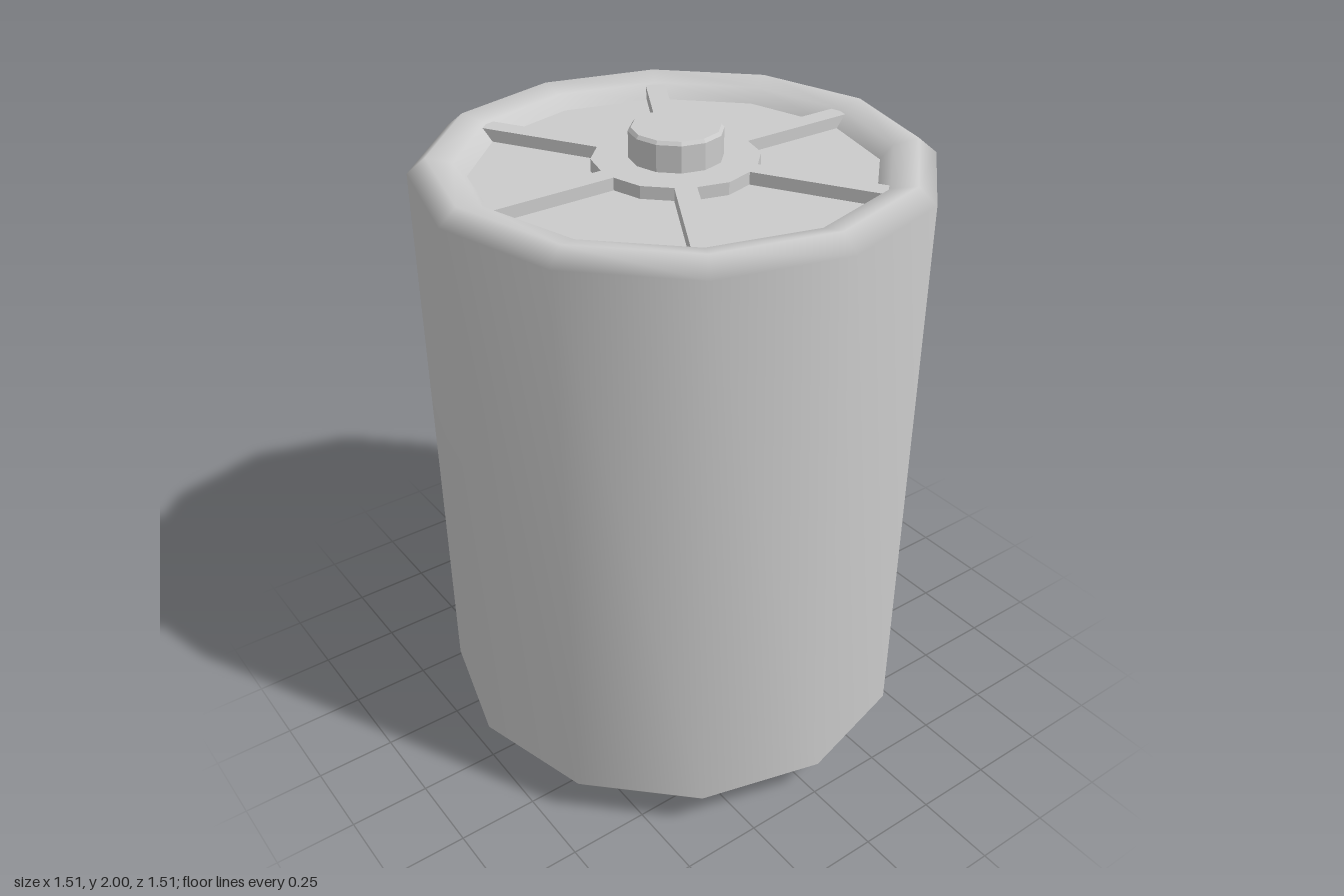
import * as THREE from 'three';

const SIDES = 12;

export function createModel() {
  const group = new THREE.Group();
  const smooth = new THREE.MeshStandardMaterial({ color: 0xcccccc });
  const flat = new THREE.MeshStandardMaterial({ color: 0xcccccc, flatShading: true });

  const add = (name, geometry, material) => {
    const mesh = new THREE.Mesh(geometry, material);
    mesh.name = name;
    group.add(mesh);
    return mesh;
  };
  // Turned part: profile of [radius, height] pairs from bottom to top
  const turned = (name, profile, material) =>
    add(name, new THREE.LatheGeometry(profile.map(([r, y]) => new THREE.Vector2(r, y)), SIDES), material);

  // Smooth shell with chamfered ends and a rim sloping into the top recess
  turned('body', [
    [0.58, 0.08], [0.71, 0.08], [0.755, 0.13], [0.755, 1.89],
    [0.70, 1.935], [0.625, 1.917], [0.59, 1.875],
  ], smooth);

  // Recessed floor of the top
  turned('recessFloor', [[0.59, 1.875], [0, 1.875]], flat);

  // Base plate with a small bevel at the foot
  turned('basePlate', [[0, 0], [0.61, 0], [0.62, 0.012], [0.62, 0.085]], flat);

  // Raised hub and the button on it
  turned('hub', [[0.243, 1.87], [0.243, 1.912], [0, 1.912]], flat);
  turned('button', [[0.136, 1.905], [0.136, 1.99], [0.128, 2], [0, 2]], flat);

  // Six spokes from the hub to the rim
  for (let i = 0; i < 6; i++) {
    const spoke = new THREE.BoxGeometry(0.42, 0.042, 0.062);
    spoke.translate(0.415, 1.891, 0);
    spoke.rotateY(i * Math.PI / 3);
    add('spoke', spoke, flat);
  }
  return group;
}
